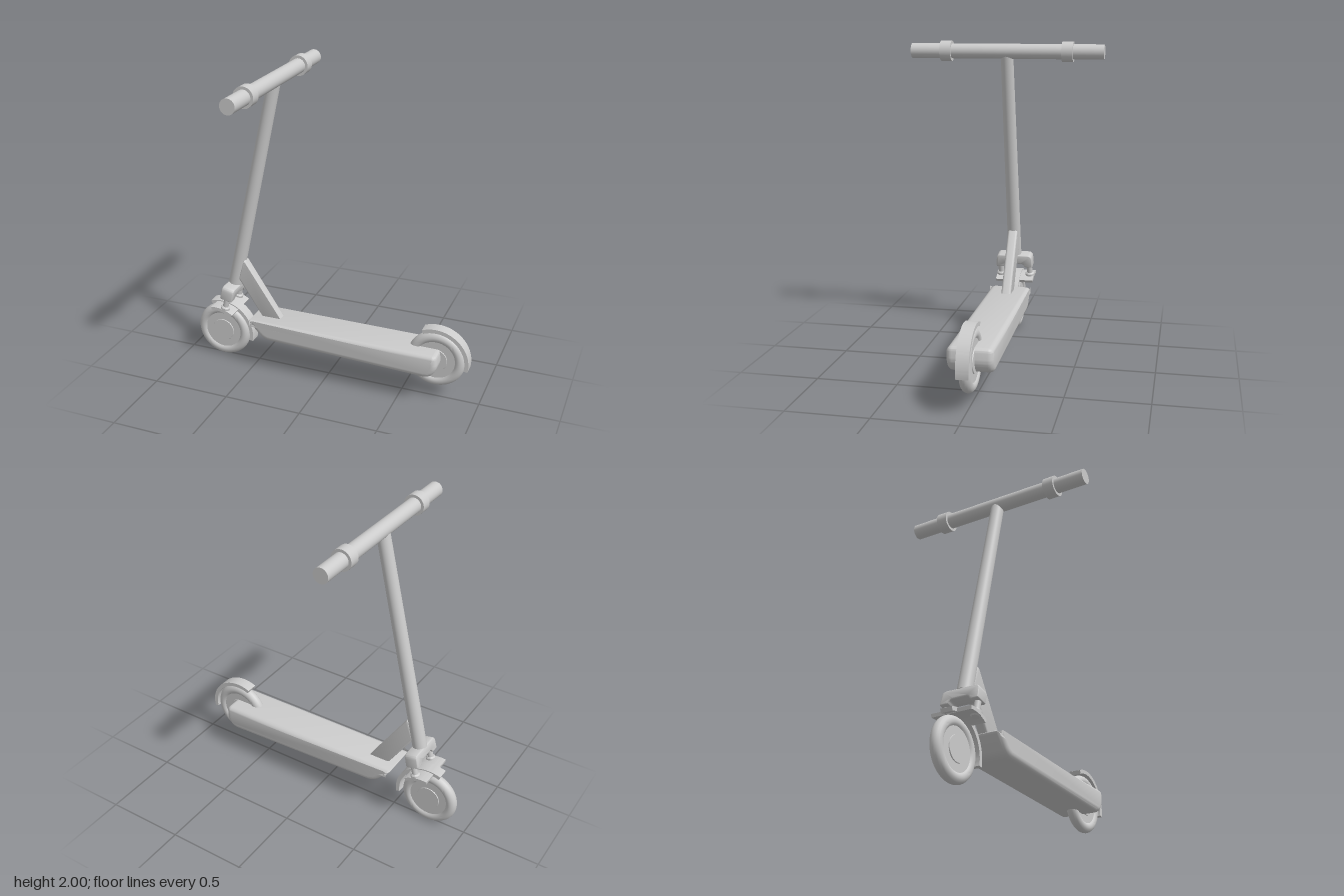
import * as THREE from 'three';
import { toCreasedNormals } from 'three/addons/utils/BufferGeometryUtils.js';

const material = new THREE.MeshStandardMaterial({ color: 0xcccccc });

function add(parent, name, geometry, x = 0, y = 0, z = 0) {
  const mesh = new THREE.Mesh(geometry, material);
  mesh.name = name;
  mesh.position.set(x, y, z);
  parent.add(mesh);
  return mesh;
}

// Polygon whose corners are rounded by a given radius
function roundedShape(corners) {
  const shape = new THREE.Shape();
  const n = corners.length;
  corners.forEach(([x, y, r], i) => {
    const p = new THREE.Vector2(x, y);
    const toward = (q) => new THREE.Vector2(q[0], q[1]).sub(p).setLength(r).add(p);
    const a = toward(corners[(i + n - 1) % n]);
    const b = toward(corners[(i + 1) % n]);
    if (i === 0) shape.moveTo(a.x, a.y);
    else shape.lineTo(a.x, a.y);
    shape.quadraticCurveTo(x, y, b.x, b.y);
  });
  shape.closePath();
  return shape;
}

// Bevelled slab, centred on z, that keeps the outline's full size
function slab(shape, width, bevel) {
  const geometry = new THREE.ExtrudeGeometry(shape, {
    depth: width - 2 * bevel, bevelEnabled: bevel > 0, bevelThickness: bevel,
    bevelSize: bevel, bevelOffset: -bevel, bevelSegments: 5, curveSegments: 8,
  });
  geometry.translate(0, 0, -width / 2 + bevel);
  return toCreasedNormals(geometry, 0.6);
}

// Curved strip around an axle, angles in degrees
function arcStrip(inner, outer, from, to, width) {
  const a = THREE.MathUtils.degToRad(from), b = THREE.MathUtils.degToRad(to);
  const shape = new THREE.Shape();
  shape.absarc(0, 0, outer, a, b, false);
  shape.absarc(0, 0, inner, b, a, true);
  shape.closePath();
  const geometry = new THREE.ExtrudeGeometry(shape, { depth: width, bevelEnabled: false, curveSegments: 24 });
  geometry.translate(0, 0, -width / 2);
  return toCreasedNormals(geometry, 0.5);
}

function cylinderZ(radius, length) {
  return new THREE.CylinderGeometry(radius, radius, length, 40).rotateX(Math.PI / 2);
}

// Wheel profile: raised hub, recessed disc, rounded tyre
function wheelGeometry() {
  const half = [[0, 0.03], [0.074, 0.03], [0.076, 0.025], [0.125, 0.025], [0.132, 0.031],
    [0.142, 0.035], [0.154, 0.035], [0.167, 0.031], [0.177, 0.022], [0.183, 0.011]];
  const points = half.map(([r, z]) => new THREE.Vector2(r, -z));
  points.push(new THREE.Vector2(0.185, 0));
  [...half].reverse().forEach(([r, z]) => points.push(new THREE.Vector2(r, z)));
  return toCreasedNormals(new THREE.LatheGeometry(points, 56).rotateX(Math.PI / 2), 0.6);
}

export function createModel() {
  const scooter = new THREE.Group();
  scooter.name = 'kickScooter';

  // Wheels and mudguards
  add(scooter, 'frontWheel', wheelGeometry(), -0.75, 0.19);
  add(scooter, 'rearWheel', wheelGeometry(), 0.715, 0.275);
  add(scooter, 'frontMudguard', arcStrip(0.2, 0.224, -10, 110, 0.074), -0.75, 0.19);
  add(scooter, 'mudguardBracket', arcStrip(0.196, 0.217, 56, 98, 0.255), -0.75, 0.19);
  add(scooter, 'rearMudguard', arcStrip(0.19, 0.215, -11, 114, 0.075), 0.712, 0.276);

  // Deck
  const deck = roundedShape([
    [-0.525, 0.356, 0.025], [-0.41, 0.233, 0.05], [0.71, 0.194, 0.05],
    [0.752, 0.27, 0.03], [0.742, 0.352, 0.025],
  ]);
  add(scooter, 'deck', slab(deck, 0.275, 0.035));

  // Brace between deck and steering column
  const brace = roundedShape([
    [-0.625, 0.6, 0.01], [-0.44, 0.32, 0.01], [-0.305, 0.32, 0.01], [-0.578, 0.738, 0.02],
  ]);
  add(scooter, 'brace', slab(brace, 0.066, 0.015));

  // Steering column
  const top = new THREE.Vector3(-0.345, 1.937, 0), bottom = new THREE.Vector3(-0.657, 0.55, 0);
  const axis = top.clone().sub(bottom);
  const middle = top.clone().add(bottom).multiplyScalar(0.5);
  const tilt = Math.atan2(-axis.x, axis.y);
  const column = add(scooter, 'steeringColumn',
    new THREE.CylinderGeometry(0.04, 0.045, axis.length(), 40), middle.x, middle.y);
  column.rotation.z = tilt;

  // Handlebar with collars
  add(scooter, 'handlebar', cylinderZ(0.047, 1.23), top.x, top.y);
  for (const side of [-1, 1]) {
    add(scooter, 'gripCollar', cylinderZ(0.064, 0.07), top.x, top.y, side * 0.388);
  }

  // Fork crown and short suspension legs, tilted with the column
  const fork = new THREE.Group();
  fork.name = 'fork';
  fork.position.set(-0.665, 0.51, 0);
  fork.rotation.z = tilt;
  scooter.add(fork);
  const crown = roundedShape([
    [-0.125, -0.045, 0.01], [-0.072, -0.045, 0.01], [-0.06, -0.02, 0.015], [0.06, -0.02, 0.015],
    [0.072, -0.045, 0.01], [0.125, -0.045, 0.01], [0.12, 0.045, 0.03], [-0.12, 0.045, 0.03],
  ]);
  add(fork, 'forkCrown', slab(crown, 0.085, 0.01).rotateY(Math.PI / 2));
  for (const side of [-1, 1]) {
    add(fork, 'forkLeg', new THREE.CylinderGeometry(0.019, 0.019, 0.1, 24), 0, -0.08, side * 0.099);
    const foot = [[0, -0.024], [0.022, -0.024], [0.03, -0.016], [0.03, 0.014], [0.022, 0.022], [0, 0.022]];
    add(fork, 'forkFoot', toCreasedNormals(
      new THREE.LatheGeometry(foot.map(([r, y]) => new THREE.Vector2(r, y)), 24), 0.6), 0, -0.118, side * 0.099);
  }
  return scooter;
}
